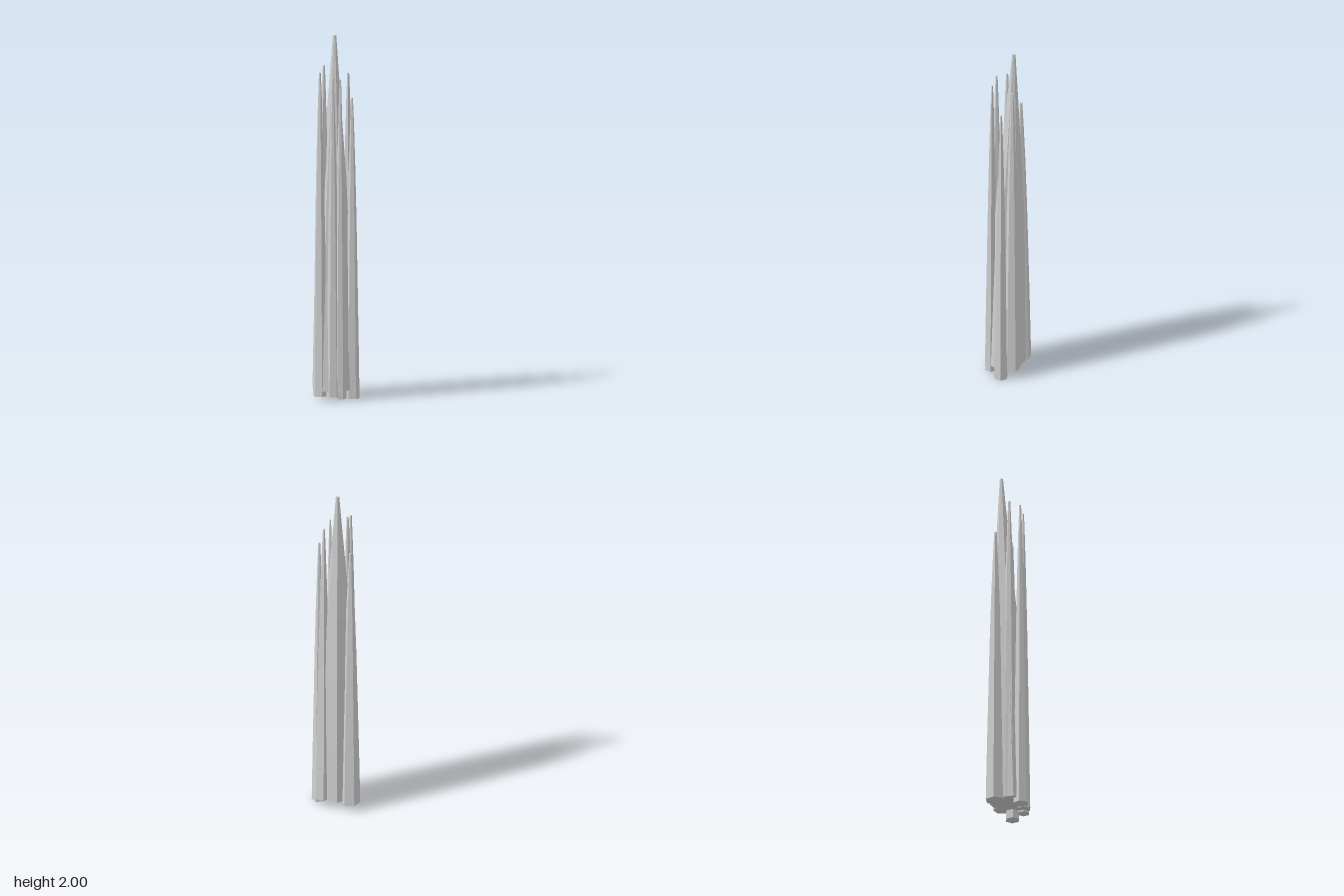
import * as THREE from 'three';

// Height fraction and radius fraction, from foot to tip
const mainProfile = [[0, 1], [0.18, 0.92], [0.4, 0.8], [0.6, 0.63], [0.75, 0.42], [0.9, 0.22], [1, 0.085]];
const sideProfile = [[0, 1], [0.2, 0.88], [0.4, 0.74], [0.6, 0.6], [0.78, 0.43], [0.91, 0.27], [1, 0.13]];

// Faceted tapering spire with flat ends, leaning from foot to tip.
// Angles run from +x towards +z.
function spire({ foot, tip, y0, y1, r, sides, turn, profile }, material) {
  const points = [];
  const faces = [];
  for (const [t, s] of profile) {
    const cx = THREE.MathUtils.lerp(foot[0], tip[0], t);
    const cz = THREE.MathUtils.lerp(foot[1], tip[1], t);
    for (let i = 0; i < sides; i++) {
      const a = THREE.MathUtils.degToRad(turn) + (i / sides) * Math.PI * 2;
      points.push(cx + Math.cos(a) * r * s, THREE.MathUtils.lerp(y0, y1, t), cz + Math.sin(a) * r * s);
    }
  }
  const last = (profile.length - 1) * sides;
  for (let k = 0; k < last; k += sides) {
    for (let i = 0; i < sides; i++) {
      const j = (i + 1) % sides;
      faces.push(k + i, k + sides + i, k + j, k + j, k + sides + i, k + sides + j);
    }
  }
  // Foot and tip caps
  for (let i = 1; i < sides - 1; i++) {
    faces.push(0, i, i + 1, last, last + i + 1, last + i);
  }
  const indexed = new THREE.BufferGeometry();
  indexed.setAttribute('position', new THREE.Float32BufferAttribute(points, 3));
  indexed.setIndex(faces);
  const geometry = indexed.toNonIndexed();
  geometry.computeVertexNormals();
  return new THREE.Mesh(geometry, material);
}

export function createModel() {
  const group = new THREE.Group();
  group.name = 'spireCluster';
  const stone = new THREE.MeshStandardMaterial({ color: 0xd1d1d1, flatShading: true });
  stone.name = 'pale grey stone';

  // Tall central spire
  const main = spire({
    foot: [-0.005, 0.02], tip: [0.022, -0.019], y0: 0.05, y1: 2,
    r: 0.111, sides: 7, turn: -55, profile: mainProfile,
  }, stone);
  main.name = 'mainSpire';
  group.add(main);

  // Slender spires around it
  const around = [
    { name: 'backSpire', foot: [-0.019, -0.085], tip: [-0.021, -0.083], y0: 0.04, y1: 1.65, r: 0.054, turn: -20 },
    { name: 'innerRightSpire', foot: [-0.057, -0.014], tip: [-0.048, -0.012], y0: 0.05, y1: 1.84, r: 0.046, turn: 10 },
    { name: 'rightSpire', foot: [-0.095, 0.034], tip: [-0.095, 0.029], y0: 0.02, y1: 1.81, r: 0.042, turn: 45 },
    { name: 'frontRightSpire', foot: [-0.043, 0.086], tip: [-0.043, 0.08], y0: 0.02, y1: 1.79, r: 0.038, turn: 30 },
    { name: 'frontSpire', foot: [-0.009, 0.103], tip: [-0.007, 0.099], y0: 0.01, y1: 1.775, r: 0.033, turn: 30 },
    { name: 'frontLeftSpire', foot: [0.075, 0.084], tip: [0.075, 0.082], y0: 0, y1: 1.665, r: 0.04, turn: 28 },
    { name: 'leftSpire', foot: [0.087, 0.023], tip: [0.085, 0.02], y0: 0.05, y1: 1.79, r: 0.047, turn: 0 },
  ];
  for (const part of around) {
    const mesh = spire({ ...part, sides: 6, profile: sideProfile }, stone);
    mesh.name = part.name;
    group.add(mesh);
  }
  return group;
}
